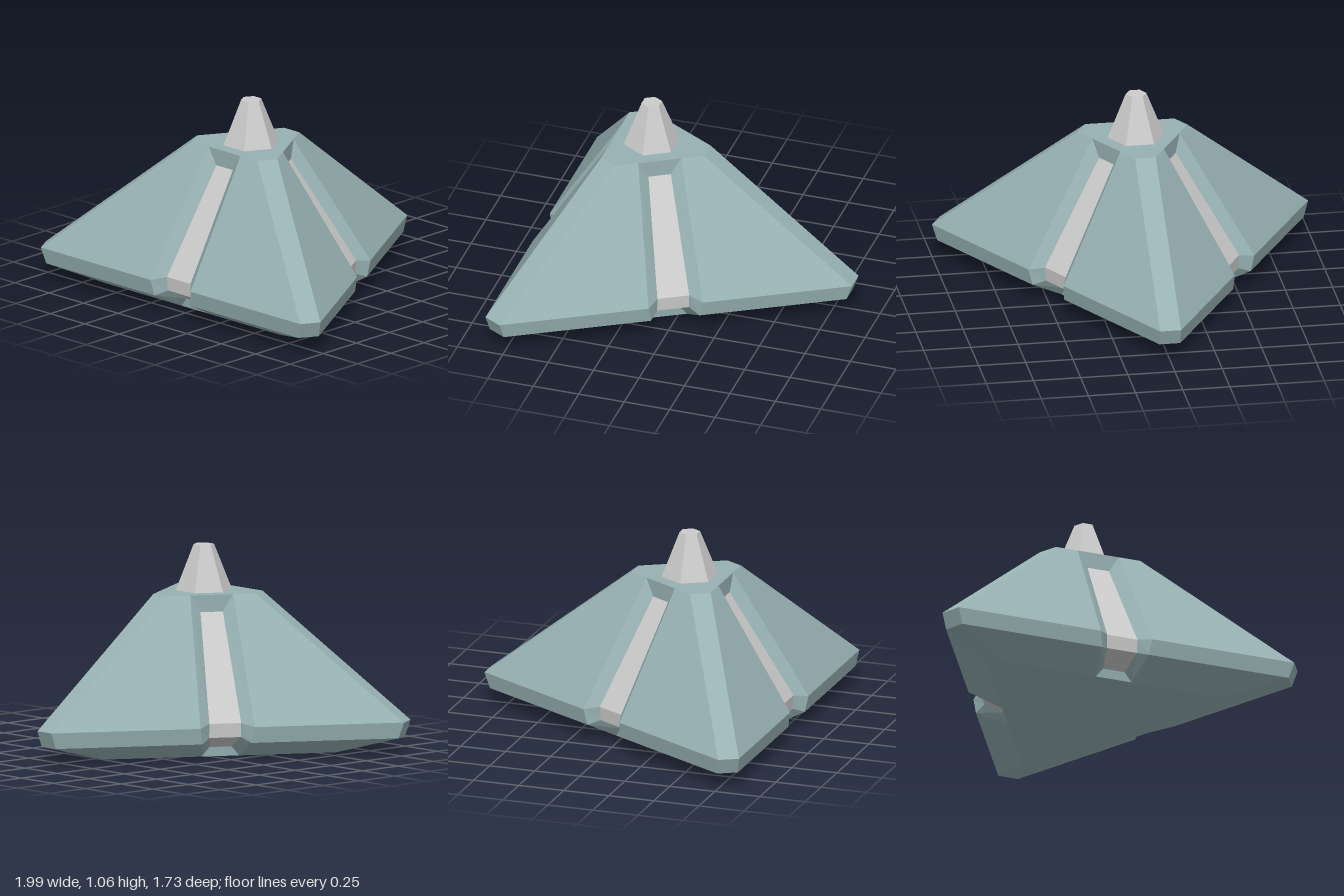
import * as THREE from 'three';

const SIN60 = Math.sin(Math.PI / 3);
const CORNER = 0.055; // half width of the blunted corners
const AXIS_Z = 0.256; // the three-fold axis sits forward of the centre

// Hull levels, top to bottom: height, corner radius, groove half width
const HULL = [
  [0.82, 0.305, 0.115],
  [0.175, 1.12, 0.145],
  [0.09, 1.09, 0.13],
  [0, 0.745, 0.1],
];
// Groove floor, top to bottom: height, distance from axis, half width
const FLOOR = [
  [0.73, 0.2, 0.06],
  [0.19, 0.545, 0.085],
  [0.115, 0.54, 0.085],
  [0.05, 0.425, 0.06],
];

const faceDistance = (r) => r / 2 + CORNER * SIN60;
const faceEdge = (r) => r * SIN60 - CORNER / 2;

// Flat-faced geometry from counter-clockwise polygons
function polygons(faces) {
  const pos = [];
  for (const f of faces) {
    for (let i = 1; i < f.length - 1; i++) pos.push(...f[0], ...f[i], ...f[i + 1]);
  }
  const geo = new THREE.BufferGeometry();
  geo.setAttribute('position', new THREE.Float32BufferAttribute(pos, 3));
  geo.computeVertexNormals();
  return geo;
}

// Quads between two columns of points, left and right
function strip(a, b) {
  return a.slice(1).map((p, i) => [a[i], p, b[i + 1], b[i]]);
}

export function createModel() {
  const model = new THREE.Group();
  model.name = 'pyramid';
  const hullMat = new THREE.MeshStandardMaterial({ color: 0x97b1b3, flatShading: true });
  const greyMat = new THREE.MeshStandardMaterial({ color: 0xcccccc, flatShading: true });

  // Columns of one side, facing +z
  const edge = (s) => HULL.map(([y, r]) => [s * faceEdge(r), y, faceDistance(r)]);
  const rim = (s) => HULL.map(([y, r, w]) => [s * w, y, faceDistance(r)]);
  const floor = (s) => FLOOR.map(([y, d, w]) => [s * w, y, d]);
  const farCorner = HULL.map(([y, r]) => [r * SIN60 + CORNER / 2, y, r / 2 - CORNER * SIN60]);
  const [eL, rL, fL, fR, rR, eR] = [edge(-1), rim(-1), floor(-1), floor(1), rim(1), edge(1)];

  const sideGeo = polygons([
    ...strip(eL, rL), ...strip(rL, fL), // left panel and groove wall
    ...strip(fR, rR), ...strip(rR, eR), // right groove wall and panel
    ...strip(eR, farCorner), // blunted corner
    [rL[0], fL[0], fR[0], rR[0]], // groove ends
    [fL[3], rL[3], rR[3], fR[3]],
    [[0, 0.82, 0], eL[0], eR[0], farCorner[0]], // a third of the top
    [[0, 0, 0], farCorner[3], eR[3], eL[3]], // a third of the underside
  ]);
  const inlayGeo = polygons(strip(fL, fR));

  // Three identical sides around the axis
  for (let i = 0; i < 3; i++) {
    const side = new THREE.Group();
    side.name = `side${i + 1}`;
    const hull = new THREE.Mesh(sideGeo, hullMat);
    hull.name = 'hullPanel';
    const inlay = new THREE.Mesh(inlayGeo, greyMat);
    inlay.name = 'grooveInlay';
    side.add(hull, inlay);
    side.position.z = AXIS_Z;
    side.rotation.y = (i * Math.PI * 2) / 3;
    model.add(side);
  }

  // Six-sided spire on the flat top
  const spire = new THREE.Mesh(new THREE.CylinderGeometry(0.055, 0.15, 0.24, 6), greyMat);
  spire.name = 'spire';
  spire.position.set(0, 0.94, AXIS_Z);
  spire.rotation.y = Math.PI / 6;
  model.add(spire);

  return model;
}
